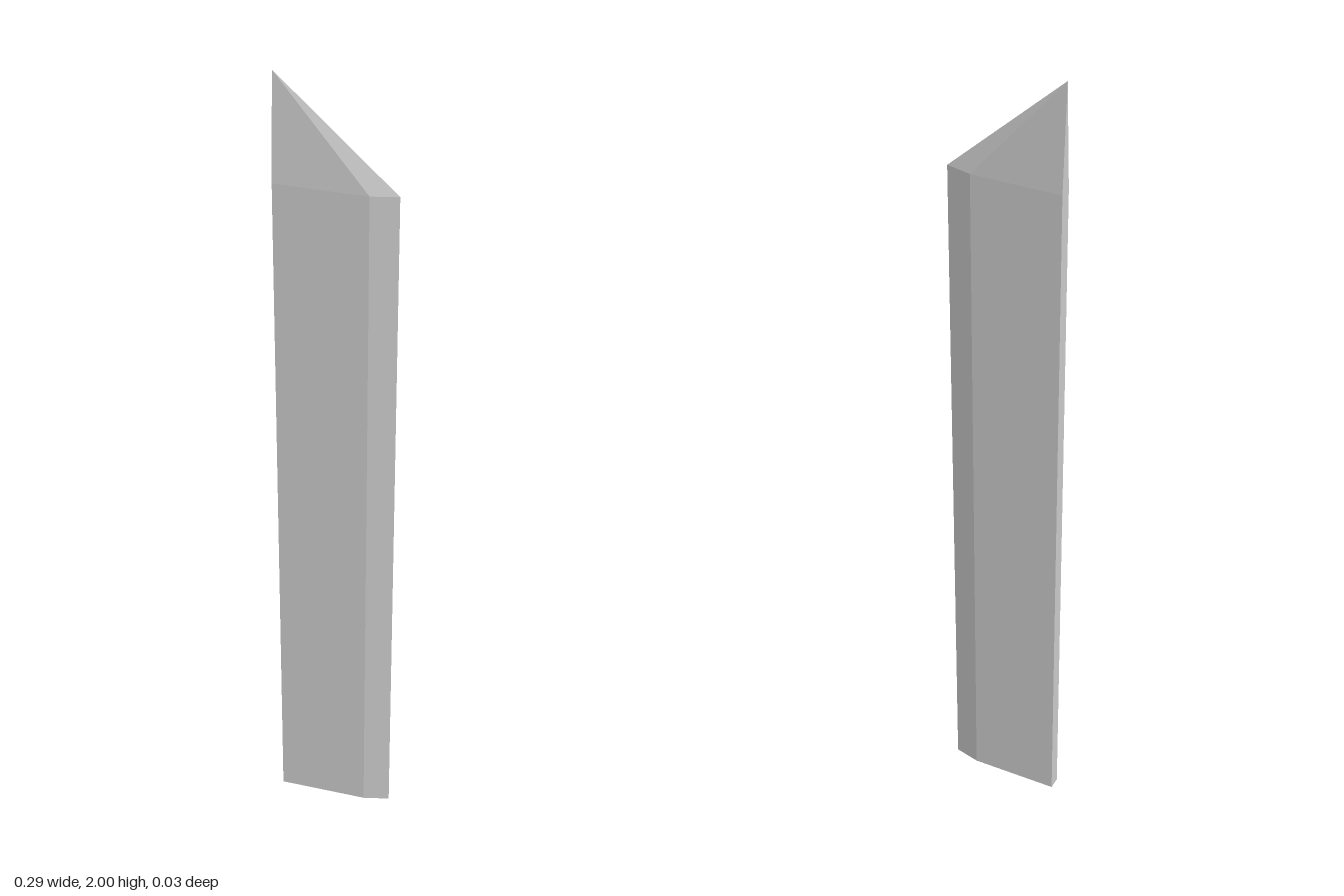
import * as THREE from 'three';

export function createModel() {
  const group = new THREE.Group();

  // Blade cross-section as [x, z]: flat spine at -x, sharpened edge at +x
  const section = [[-0.143, 0.016], [0.078, 0.016], [0.142, 0], [0.078, -0.016], [-0.143, -0.016]];
  const n = section.length;
  const shoulderY = 1.743;
  const positions = [];
  for (const y of [0, shoulderY]) for (const [x, z] of section) positions.push(x, y, z);

  // Point of the blade, above the middle of the spine
  const tip = 2 * n;
  positions.push(-0.143, 2, 0);

  const index = [];
  for (let i = 0; i < n; i++) {
    const j = (i + 1) % n;
    index.push(i, j, n + j, i, n + j, n + i); // side
    index.push(n + i, n + j, tip); // slanted tip
    if (i > 0 && i < n - 1) index.push(0, j, i); // bottom
  }

  const indexed = new THREE.BufferGeometry();
  indexed.setAttribute('position', new THREE.Float32BufferAttribute(positions, 3));
  indexed.setIndex(index);
  const geometry = indexed.toNonIndexed();
  geometry.computeVertexNormals();

  const blade = new THREE.Mesh(
    geometry,
    new THREE.MeshStandardMaterial({ color: 0xcccccc, flatShading: true })
  );
  blade.name = 'blade';
  group.add(blade);
  return group;
}
